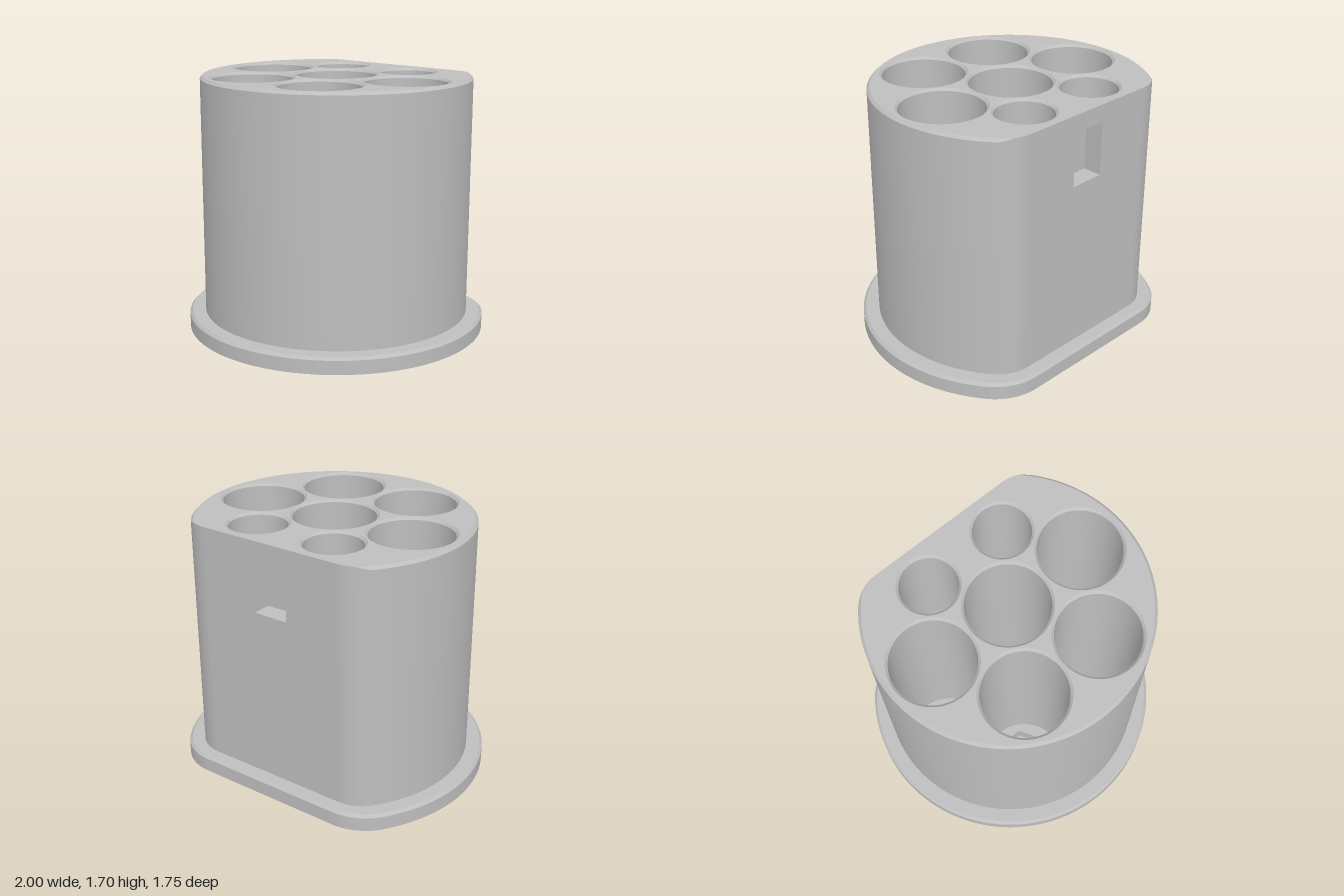
import * as THREE from 'three';

const AXIS_Z = -0.13, CHAMFER = 0.018, TOP = 1.7, FLANGE = 0.11;
const POCKET_FLOOR = 0.22, NUT_FLOOR = 0.1;

// D-shaped outline in (x, z): circle cut by a flat back, with filleted corners
function dOutline(R, back, fillet) {
  const cz = back + fillet;
  const cx = Math.sqrt((R - fillet) ** 2 - (cz - AXIS_Z) ** 2);
  const t = Math.atan2(cz - AXIS_Z, cx);
  const pts = [];
  const arc = (x, z, r, a0, a1, n, skip) => {
    for (let i = skip; i <= n; i++) {
      const a = a0 + (a1 - a0) * i / n;
      pts.push([x + r * Math.cos(a), z + r * Math.sin(a)]);
    }
  };
  arc(cx, cz, fillet, -Math.PI / 2, t, 16, 0);
  arc(0, AXIS_Z, R, t, Math.PI - t, 96, 1);
  arc(-cx, cz, fillet, Math.PI - t, Math.PI * 1.5, 16, 1);
  return pts;
}

// Regular polygon (or circle) in (x, z)
function ngon(x, z, r, n) {
  return Array.from({ length: n }, (_, i) => {
    const a = i / n * Math.PI * 2;
    return [x + r * Math.cos(a), z + r * Math.sin(a)];
  });
}

const at = (outline, y) => outline.map(([x, z]) => [x, y, z]);

// Strip between two rings; lower-to-upper faces outward, upper-to-lower inward
function band(a, b, closed = true, flat = false) {
  const n = a.length, index = [];
  for (let i = 0; i < (closed ? n : n - 1); i++) {
    const j = (i + 1) % n;
    index.push(i, n + i, n + j, i, n + j, j);
  }
  let g = new THREE.BufferGeometry();
  g.setAttribute('position', new THREE.Float32BufferAttribute([...a, ...b].flat(), 3));
  g.setIndex(index);
  if (flat) g = g.toNonIndexed();
  g.computeVertexNormals();
  return g;
}

// Flat horizontal face with holes
function cap(outline, holes, y, up = true) {
  const s = up ? -1 : 1;
  const v = o => o.map(([x, z]) => new THREE.Vector2(x, s * z));
  const shape = new THREE.Shape(v(outline));
  shape.holes = holes.map(h => new THREE.Path(v(h)));
  return new THREE.ShapeGeometry(shape).rotateX(s * Math.PI / 2).translate(0, y, 0);
}

export function createModel() {
  const model = new THREE.Group();
  model.name = 'sevenWellHolder';
  const grey = new THREE.MeshStandardMaterial({ color: 0xbebebe });
  grey.name = 'plain grey';
  const add = (name, geometry, parent = model) => {
    const m = new THREE.Mesh(geometry, grey);
    m.name = name;
    parent.add(m);
  };

  // Wells: five large, two small
  const large = { rim: 0.281, r: 0.265, hex: 0.219, hole: 0.115 };
  const small = { rim: 0.2, r: 0.184, hex: 0.125, hole: 0.058 };
  const wells = [
    [0, -0.13, large], [0.571, -0.13, large], [-0.571, -0.13, large],
    [0.285, 0.365, large], [-0.285, 0.365, large],
    [0.285, -0.53, small], [-0.285, -0.53, small],
  ];
  const screws = [[0.605, -0.595], [-0.605, -0.595], [0, 0.65]];

  for (const [x, z, s] of wells) {
    const g = new THREE.Group();
    g.name = s === large ? 'largeWell' : 'smallWell';
    model.add(g);
    const rim = ngon(x, z, s.rim, 64), bore = ngon(x, z, s.r, 64);
    const hex = ngon(x, z, s.hex, 6), hole = ngon(x, z, s.hole, 40);
    const lip = TOP - (s.rim - s.r);
    add('wellChamfer', band(at(rim, TOP), at(bore, lip)), g);
    add('wellWall', band(at(bore, lip), at(bore, POCKET_FLOOR)), g);
    add('wellFloor', cap(bore, [hex], POCKET_FLOOR), g);
    add('nutRecessWall', band(at(hex, POCKET_FLOOR), at(hex, NUT_FLOOR), true, true), g);
    add('nutRecessFloor', cap(hex, [hole], NUT_FLOOR), g);
    add('throughHole', band(at(hole, NUT_FLOOR), at(hole, 0)), g);
  }

  // Body: the edge chamfer is a cone about the axis, so it fades out at the flat back
  const R = 0.893, BACK = -0.785;
  const body = dOutline(R, BACK, 0.26);
  const wallTop = [], topEdge = [];
  for (const [x, z] of body) {
    const d = Math.hypot(x, z - AXIS_Z), over = Math.max(0, d - (R - CHAMFER));
    const k = (d - over) / d;
    wallTop.push([x, TOP - over, z]);
    topEdge.push([x * k, AXIS_Z + (z - AXIS_Z) * k]);
  }
  add('bodyWall', band(at(body, FLANGE), wallTop, false));
  add('bodyChamfer', band(wallTop, at(topEdge, TOP), false));
  add('bodyTop', cap(topEdge, wells.map(([x, z, s]) => ngon(x, z, s.rim, 64)), TOP));

  // Flat back with a rectangular latch pocket
  const rect = (w, y0, y1) => [[-w, y0], [w, y0], [w, y1], [-w, y1]];
  const vec = pts => pts.map(p => new THREE.Vector2(...p));
  const slot = rect(0.12, 1.235, 1.585), depth = 0.125;
  const panel = new THREE.Shape(vec(rect(body[0][0], FLANGE, TOP)));
  panel.holes.push(new THREE.Path(vec(slot)));
  add('backPanel', new THREE.ShapeGeometry(panel).rotateY(Math.PI).translate(0, 0, BACK));
  const slotAt = z => slot.map(([x, y]) => [x, y, z]);
  add('latchPocketWalls', band(slotAt(BACK), slotAt(BACK + depth), true, true));
  add('latchPocketFloor', new THREE.ShapeGeometry(new THREE.Shape(vec(slot)))
    .rotateY(Math.PI).translate(0, 0, BACK + depth));

  // Base flange
  const flange = dOutline(1, -0.875, 0.36);
  const inset = dOutline(1 - CHAMFER, -0.875 + CHAMFER, 0.36 - CHAMFER);
  add('flangeWall', band(at(flange, 0), at(flange, FLANGE - CHAMFER)));
  add('flangeChamfer', band(at(flange, FLANGE - CHAMFER), at(inset, FLANGE)));
  add('flangeTop', cap(inset, [body], FLANGE));
  add('underside', cap(flange, [
    ...wells.map(([x, z, s]) => ngon(x, z, s.hole, 40)),
    ...screws.map(([x, z]) => ngon(x, z, 0.044, 32)),
  ], 0, false));

  // Blind screw holes in the underside
  for (const [x, z] of screws) {
    const o = ngon(x, z, 0.044, 32);
    add('screwHoleWall', band(at(o, 0.35), at(o, 0)));
    add('screwHoleEnd', cap(o, [], 0.35, false));
  }
  return model;
}
